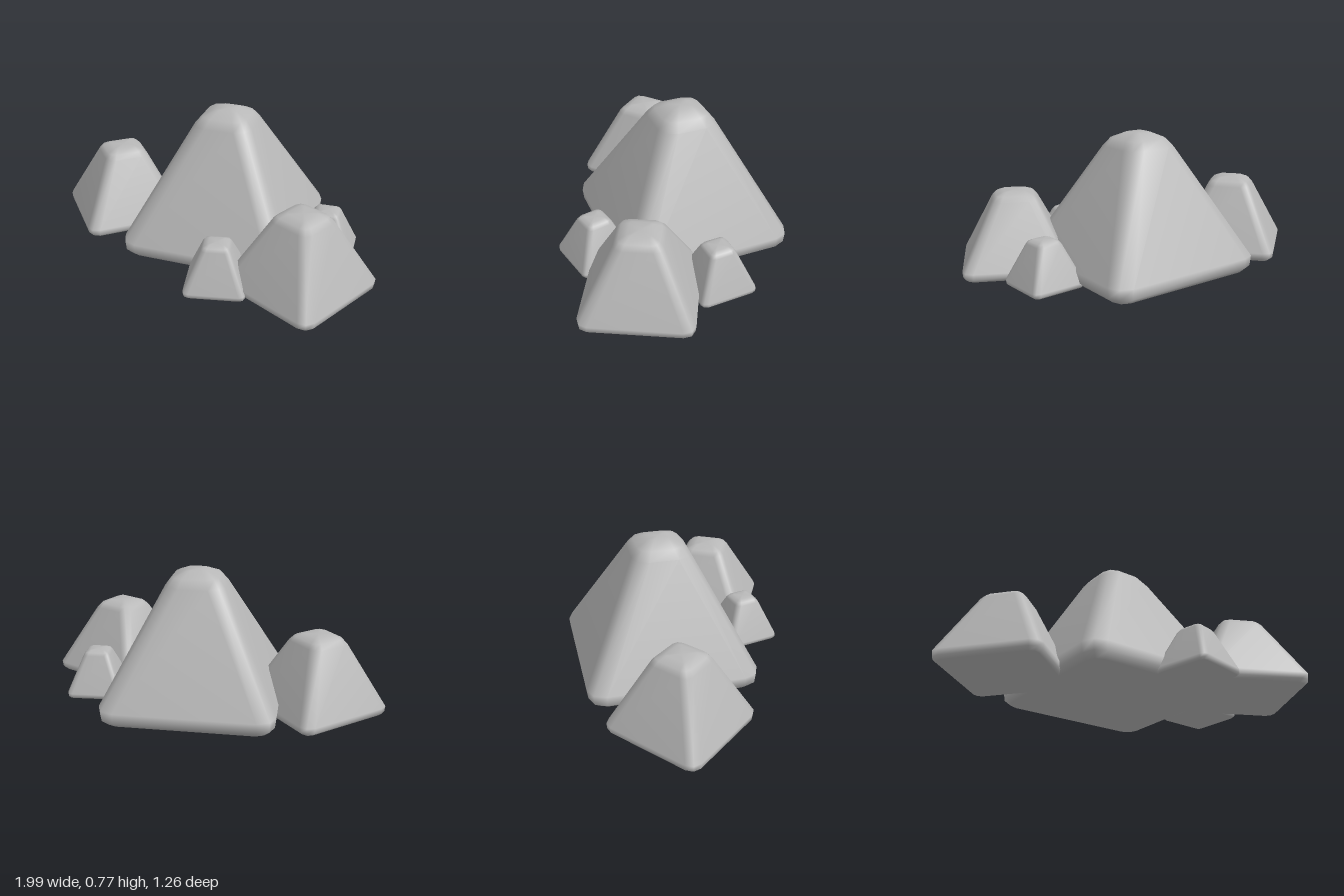
import * as THREE from 'three';

// Cross-section levels from base to top: [height, corner radius, corner rounding],
// as fractions of the rock's height and radius; t is the relative size of the flat top.
const levels = (t) => [
  [0, 0.93, 0.1],
  [0.04, 0.99, 0.14],
  [0.115, 1, 0.15],
  [0.9, t + 0.2, 0.13],
  [0.96, t + 0.13, 0.1],
  [1, t, 0.04],
];

// Four-sided pyramid with rounded corners, built from rounded-square rings
function rockGeometry(radius, height, top, angle) {
  const pos = [], idx = [], n = 12;
  const rings = levels(top);
  for (const [y, mid, r] of rings) {
    const c = mid - r; // distance of the corner arc centre
    for (let k = 0; k < 4; k++) {
      const a = angle + k * Math.PI / 2;
      for (const s of [-1, 0, 1]) {
        const b = a + s * Math.PI / 4;
        pos.push(
          radius * (c * Math.cos(a) + r * Math.cos(b)),
          height * y,
          radius * (c * Math.sin(a) + r * Math.sin(b)),
        );
      }
    }
  }
  const base = rings.length * n, peak = base + 1, last = (rings.length - 1) * n;
  pos.push(0, 0, 0, 0, height, 0);
  for (let i = 0; i < n; i++) {
    const j = (i + 1) % n;
    for (let o = 0; o < last; o += n) {
      idx.push(o + i, o + n + i, o + j, o + j, o + n + i, o + n + j);
    }
    idx.push(base, i, j, peak, last + j, last + i);
  }
  const g = new THREE.BufferGeometry();
  g.setAttribute('position', new THREE.Float32BufferAttribute(pos, 3));
  g.setIndex(idx);
  g.computeVertexNormals();
  return g;
}

export function createModel() {
  const group = new THREE.Group();
  group.name = 'rockCluster';
  const stone = new THREE.MeshStandardMaterial({ color: 0xb8b8b8 });
  stone.name = 'stone grey';

  // name, x, z, radius, height, top fraction, turn in degrees
  const rocks = [
    ['mainRock', 0.015, -0.065, 0.635, 0.77, 0.11, 25],
    ['rightRock', -0.625, 0.135, 0.385, 0.44, 0.21, 75],
    ['leftRock', 0.672, 0.16, 0.395, 0.44, 0.2, 52],
    ['smallFrontRock', 0.32, 0.41, 0.216, 0.26, 0.25, 13],
    ['smallBackRock', 0.582, -0.235, 0.212, 0.26, 0.25, 22],
  ];
  for (const [name, x, z, radius, height, top, turn] of rocks) {
    const geometry = rockGeometry(radius, height, top, THREE.MathUtils.degToRad(turn));
    const rock = new THREE.Mesh(geometry, stone);
    rock.name = name;
    rock.position.set(x, 0, z);
    group.add(rock);
  }
  return group;
}
